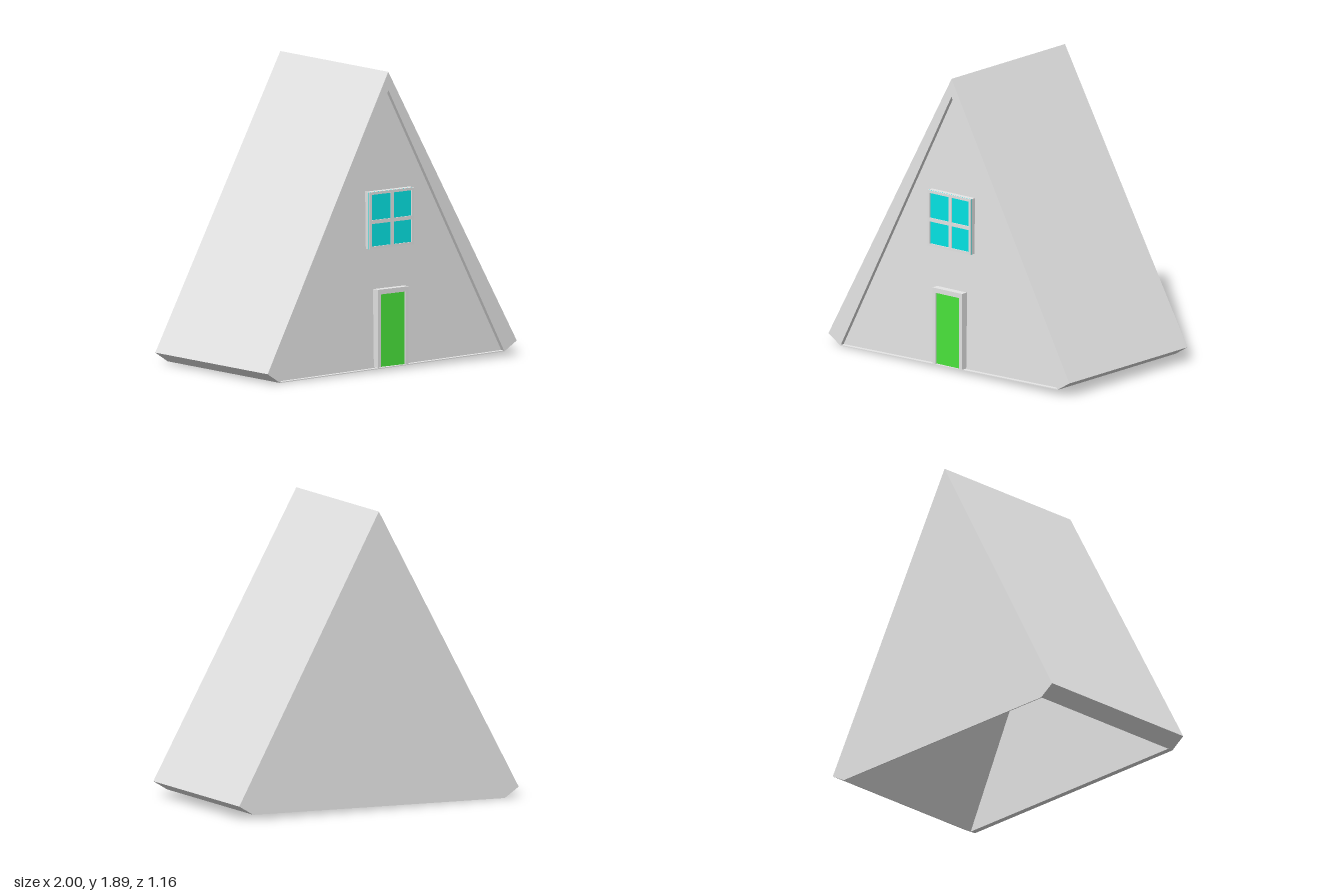
import * as THREE from 'three';

const wallGrey = new THREE.MeshStandardMaterial({ color: 0xe6e6e6 });
wallGrey.name = 'wallGrey';
const glassCyan = new THREE.MeshStandardMaterial({ color: 0x04e6e6 });
glassCyan.name = 'glassCyan';
const doorGreen = new THREE.MeshStandardMaterial({ color: 0x4ae63c });
doorGreen.name = 'doorGreen';

const frontZ = (y) => 0.567 - 0.018 * y; // gables lean slightly inwards
const backZ = (y) => -0.578 + 0.007 * y;
const at = (z) => () => z;
const shift = (depth, d) => (y) => depth(y) + d;

const vectors = (points) => points.map(([x, y]) => new THREE.Vector2(x, y));

function makeShape(outline, holes = []) {
  const shape = new THREE.Shape(vectors(outline));
  for (const hole of holes) shape.holes.push(new THREE.Path(vectors(hole)));
  return shape;
}

const rect = (x0, x1, y0, y1) => [[x0, y0], [x1, y0], [x1, y1], [x0, y1]];

// Extrudes a shape between two depths, each a function of height
function slab(name, shape, material, zBack, zFront) {
  const geometry = new THREE.ExtrudeGeometry(shape, { depth: 1, bevelEnabled: false });
  const p = geometry.attributes.position;
  for (let i = 0; i < p.count; i++) {
    const y = p.getY(i);
    p.setZ(i, THREE.MathUtils.lerp(zBack(y), zFront(y), p.getZ(i)));
  }
  geometry.computeVertexNormals();
  const mesh = new THREE.Mesh(geometry, material);
  mesh.name = name;
  return mesh;
}

export function createModel() {
  const house = new THREE.Group();
  house.name = 'cabin';

  const leftEave = [[0.9, 0.03], [1, 0.09]];
  const rightEave = [[-1, 0.065], [-0.9, 0]];
  const ridge = [-0.006, 1.895];
  const innerRidge = [-0.006, 1.778];
  const wallZ = shift(frontZ, -0.028);
  const backInnerZ = shift(backZ, 0.006);

  // Hollow shell, open underneath: thick folded roof and thin gable walls
  house.add(
    slab('roof', makeShape([...rightEave, innerRidge, ...leftEave, ridge]), wallGrey, backInnerZ, frontZ),
    slab('backWall', makeShape([...rightEave, ...leftEave, ridge]), wallGrey, backZ, backInnerZ),
    slab('frontWall', makeShape([rightEave[1], leftEave[0], innerRidge]), wallGrey, shift(wallZ, -0.008), wallZ),
    slab('sill', makeShape([[-0.9, 0], [0.9, 0.03], [0.897, 0.036], [-0.897, 0.006]]), wallGrey, wallZ, frontZ),
  );

  // Window: four-pane frame with a sheet of glass between its two halves
  const outer = rect(-0.18, 0.176, 0.782, 1.145);
  const panes = [];
  for (const [x0, x1] of [[-0.162, -0.006], [0.018, 0.16]]) {
    for (const [y0, y1] of [[0.798, 0.942], [0.966, 1.128]]) panes.push(rect(x0, x1, y0, y1));
  }
  const windowGroup = new THREE.Group();
  windowGroup.name = 'window';
  windowGroup.add(
    slab('windowBacking', makeShape(outer), wallGrey, at(0.518), at(0.553)),
    slab('windowGlass', makeShape(outer), glassCyan, at(0.553), at(0.556)),
    slab('windowFrame', makeShape(outer, panes), wallGrey, at(0.556), at(0.563)),
  );
  house.add(windowGroup);

  // Door: raised surround around a set-back panel
  const door = new THREE.Group();
  door.name = 'door';
  door.add(
    slab('doorPanel', makeShape(rect(-0.102, 0.095, 0.026, 0.49)), doorGreen, at(0.532), at(0.568)),
    slab('doorFrame', makeShape([
      [-0.126, 0.024], [-0.102, 0.024], [-0.102, 0.49], [0.095, 0.49],
      [0.095, 0.026], [0.12, 0.026], [0.12, 0.521], [-0.126, 0.521],
    ]), wallGrey, at(0.532), at(0.579)),
  );
  house.add(door);

  return house;
}
